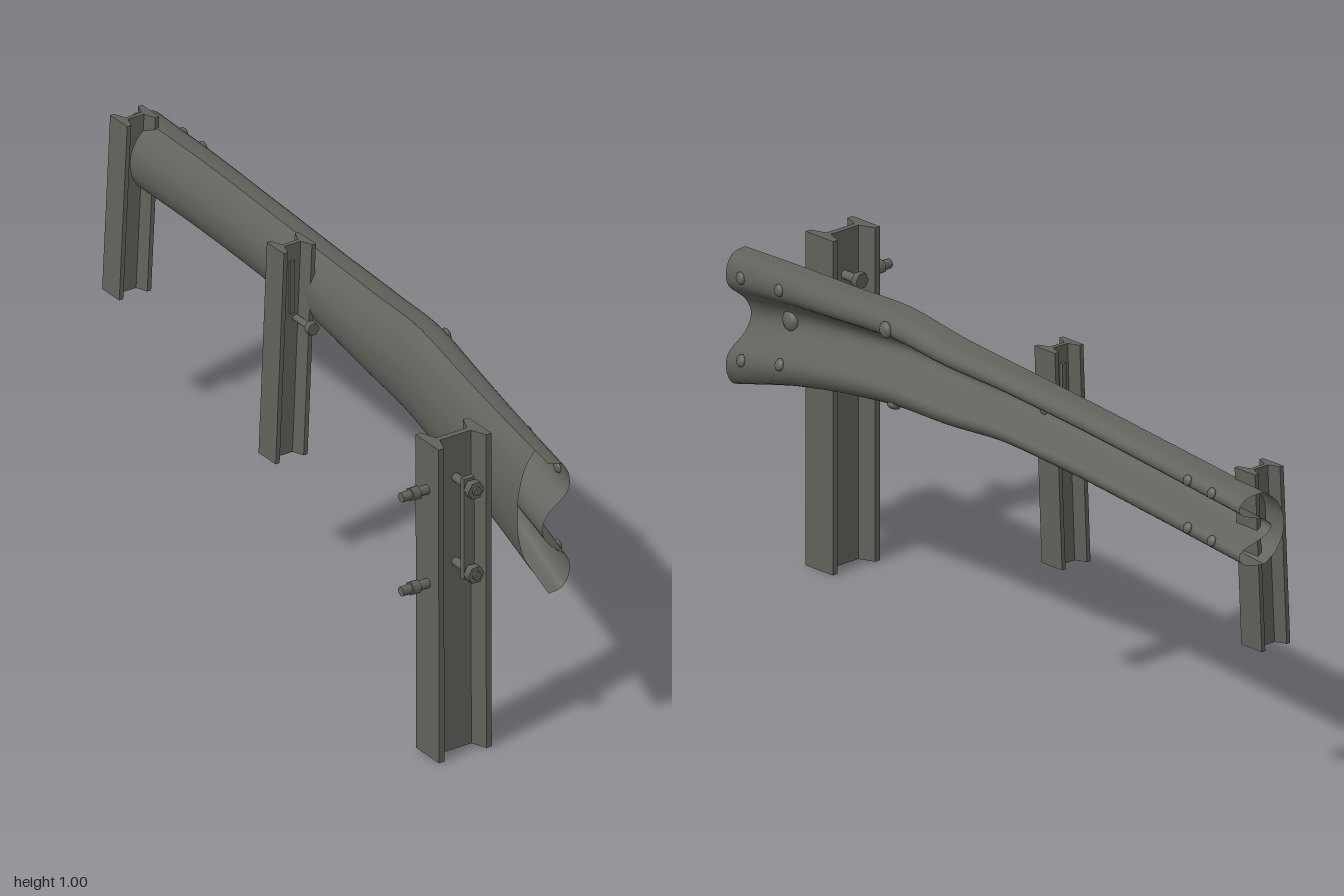
import * as THREE from 'three';

const steel = new THREE.MeshStandardMaterial({ color: 0x62625c, side: THREE.DoubleSide });
steel.name = 'weathered steel';

const TURN = -0.512; // the posts face square to the rail

function add(parent, name, geometry) {
  const mesh = new THREE.Mesh(geometry, steel);
  mesh.name = name;
  parent.add(mesh);
  return mesh;
}

// Rail line: [front x, front z, depth, top, bottom] at each station
const stations = [
  [-1.0, -0.70, 0.15, 0.90, 0.69],
  [-0.7, -0.505, 0.14, 0.92, 0.71],
  [-0.4, -0.30, 0.135, 0.935, 0.725],
  [-0.127, -0.107, 0.14, 0.945, 0.73],
  [0.1, 0.055, 0.15, 0.955, 0.705],
  [0.28, 0.185, 0.15, 0.97, 0.69],
  [0.5, 0.345, 0.14, 0.95, 0.645],
  [0.7, 0.49, 0.13, 0.932, 0.59],
  [0.93, 0.65, 0.118, 0.91, 0.51],
];
const front = new THREE.CatmullRomCurve3(stations.map(s => new THREE.Vector3(s[0], 0, s[1])));
const dims = new THREE.CatmullRomCurve3(stations.map(s => new THREE.Vector3(s[2], s[3], s[4])));

// Cross-sections as [depth, height], mirrored about mid height
function mirrored(half, middle) {
  const lower = half.slice().reverse().map(([d, v]) => [d, 1 - v]);
  return new THREE.SplineCurve([...half, middle, ...lower].map(p => new THREE.Vector2(...p)));
}
const wave = mirrored([[0.45, 1], [0.82, 0.97], [1, 0.86], [0.92, 0.74], [0.45, 0.62]], [0.28, 0.5]);
const bulge = mirrored([[0.45, 1], [0.2, 0.87], [0.04, 0.68]], [0, 0.5]);

function railPoint(profile, u, t) {
  const f = front.getPoint(u), k = dims.getPoint(u), p = profile.getPoint(t);
  return new THREE.Vector3(f.x + 0.585 * k.x * p.x, k.z + (k.y - k.z) * p.y, f.z - 0.81 * k.x * p.x);
}

function railGeometry(profile, end) {
  const nu = 48, nt = 40, pos = [], idx = [];
  for (let i = 0; i <= nu; i++)
    for (let j = 0; j <= nt; j++) pos.push(...railPoint(profile, end * i / nu, j / nt).toArray());
  for (let i = 0; i < nu; i++)
    for (let j = 0; j < nt; j++) {
      const a = i * (nt + 1) + j, b = a + nt + 1;
      // the bulge faces the other way from the wave
      if (profile === wave) idx.push(a, b, a + 1, b, b + 1, a + 1);
      else idx.push(a, a + 1, b, b, a + 1, b + 1);
    }
  const g = new THREE.BufferGeometry();
  g.setAttribute('position', new THREE.Float32BufferAttribute(pos, 3));
  g.setIndex(idx);
  g.computeVertexNormals();
  return g;
}

// Rounded bolt head sitting on the rail's wavy face
function railBolt(parent, station, t, r) {
  const u = station / 8, e = 0.01;
  const du = railPoint(wave, u + e, t).sub(railPoint(wave, u - e, t));
  const dt = railPoint(wave, u, t + e).sub(railPoint(wave, u, t - e));
  const n = du.cross(dt).normalize();
  if (n.x * 0.585 - n.z * 0.81 < 0) n.negate();
  const bolt = add(parent, 'railBolt', new THREE.SphereGeometry(r, 14, 10).scale(1, 0.6, 1));
  bolt.position.copy(railPoint(wave, u, t));
  bolt.quaternion.setFromUnitVectors(new THREE.Vector3(0, 1, 0), n);
}

// Steel post with tapered flanges, leaning by a shear
function postGeometry(w, d, thick, y0, y1, base, top) {
  const a = w / 2, b = d / 2, c = thick * 0.3;
  const q = [[a, b], [a, b - thick * 0.6], [c, b - thick * 1.2]];
  const flip = (sx, sy) => q.map(([x, y]) => [x * sx, y * sy]);
  const pts = [...q, ...flip(1, -1).reverse(), ...flip(-1, -1), ...flip(-1, 1).reverse()];
  const shape = new THREE.Shape(pts.map(p => new THREE.Vector2(...p)));
  const g = new THREE.ExtrudeGeometry(shape, { depth: y1 - y0, bevelEnabled: false });
  g.rotateX(-Math.PI / 2).rotateY(TURN);
  const P = g.attributes.position;
  for (let i = 0; i < P.count; i++) {
    const k = P.getY(i) / (y1 - y0);
    P.setXYZ(i, P.getX(i) + base[0] + (top[0] - base[0]) * k, P.getY(i) + y0,
      P.getZ(i) + base[1] + (top[1] - base[1]) * k);
  }
  g.computeVertexNormals();
  return g;
}

// Rod between two points, used for bolts and nuts
function rod(parent, name, from, to, r, sides = 12) {
  const a = new THREE.Vector3(...from), b = new THREE.Vector3(...to);
  const m = add(parent, name, new THREE.CylinderGeometry(r, r, a.distanceTo(b), sides));
  m.position.copy(a).add(b).multiplyScalar(0.5);
  m.quaternion.setFromUnitVectors(new THREE.Vector3(0, 1, 0), b.sub(a).normalize());
}

export function createModel() {
  const model = new THREE.Group();
  model.name = 'guardRail';

  // Rail: wavy outer face and smooth bulging face towards the posts
  add(model, 'railFace', railGeometry(wave, 1));
  add(model, 'railBack', railGeometry(bulge, 0.965));
  const bolts = new THREE.Group();
  bolts.name = 'railBolts';
  model.add(bolts);
  const heads = [
    [7.35, 0.5, 0.032], [7.1, 0.22, 0.018], [7.75, 0.22, 0.018], [7.1, 0.74, 0.018], [7.75, 0.74, 0.018],
    [5.1, 0.23, 0.024], [5.1, 0.9, 0.02], [2.85, 0.5, 0.016],
    [0.35, 0.2, 0.016], [0.65, 0.2, 0.016], [0.35, 0.75, 0.016], [0.65, 0.75, 0.016], [0.35, 0.5, 0.018],
  ];
  for (const h of heads) railBolt(bolts, ...h);

  // Posts
  add(model, 'farPost', postGeometry(0.082, 0.106, 0.022, 0.415, 0.94, [-0.93, -0.643], [-0.92, -0.672]));
  add(model, 'middlePost', postGeometry(0.082, 0.106, 0.022, 0.36, 1.0, [-0.173, -0.065], [-0.161, -0.092]));
  add(model, 'nearPost', postGeometry(0.11, 0.175, 0.03, 0, 0.97, [0.698, 0.657], [0.7, 0.664]));

  // Fittings of the middle post
  const mid = new THREE.Group();
  mid.name = 'middlePostFittings';
  mid.position.set(-0.165, 0, -0.088);
  mid.rotation.y = TURN;
  model.add(mid);
  rod(mid, 'crossBolt', [0, 0.77, -0.015], [0.09, 0.77, -0.015], 0.01);
  rod(mid, 'nut', [0.075, 0.77, -0.015], [0.095, 0.77, -0.015], 0.02, 6);
  add(mid, 'webStrap', new THREE.BoxGeometry(0.03, 0.16, 0.015)).position.set(0, 0.87, 0);

  // Fittings of the near post
  const near = new THREE.Group();
  near.name = 'nearPostFittings';
  near.position.set(0.7, 0, 0.662);
  near.rotation.y = TURN;
  model.add(near);
  for (const [yCross, yFront] of [[0.84, 0.825], [0.58, 0.535]]) {
    rod(near, 'crossBolt', [-0.08, yCross, 0], [0.115, yCross, 0], 0.013);
    rod(near, 'crossNut', [0.085, yCross, 0], [0.108, yCross, 0], 0.027, 6);
    rod(near, 'crossBoltHead', [-0.08, yCross, 0], [-0.06, yCross, 0], 0.024, 6);
    rod(near, 'frontBolt', [0, yFront, 0.08], [0, yFront, 0.175], 0.014);
    rod(near, 'frontNut', [0, yFront, 0.12], [0, yFront, 0.145], 0.021, 6);
  }
  add(near, 'strap', new THREE.BoxGeometry(0.016, 0.31, 0.036)).position.set(0.066, 0.71, 0);

  return model;
}
